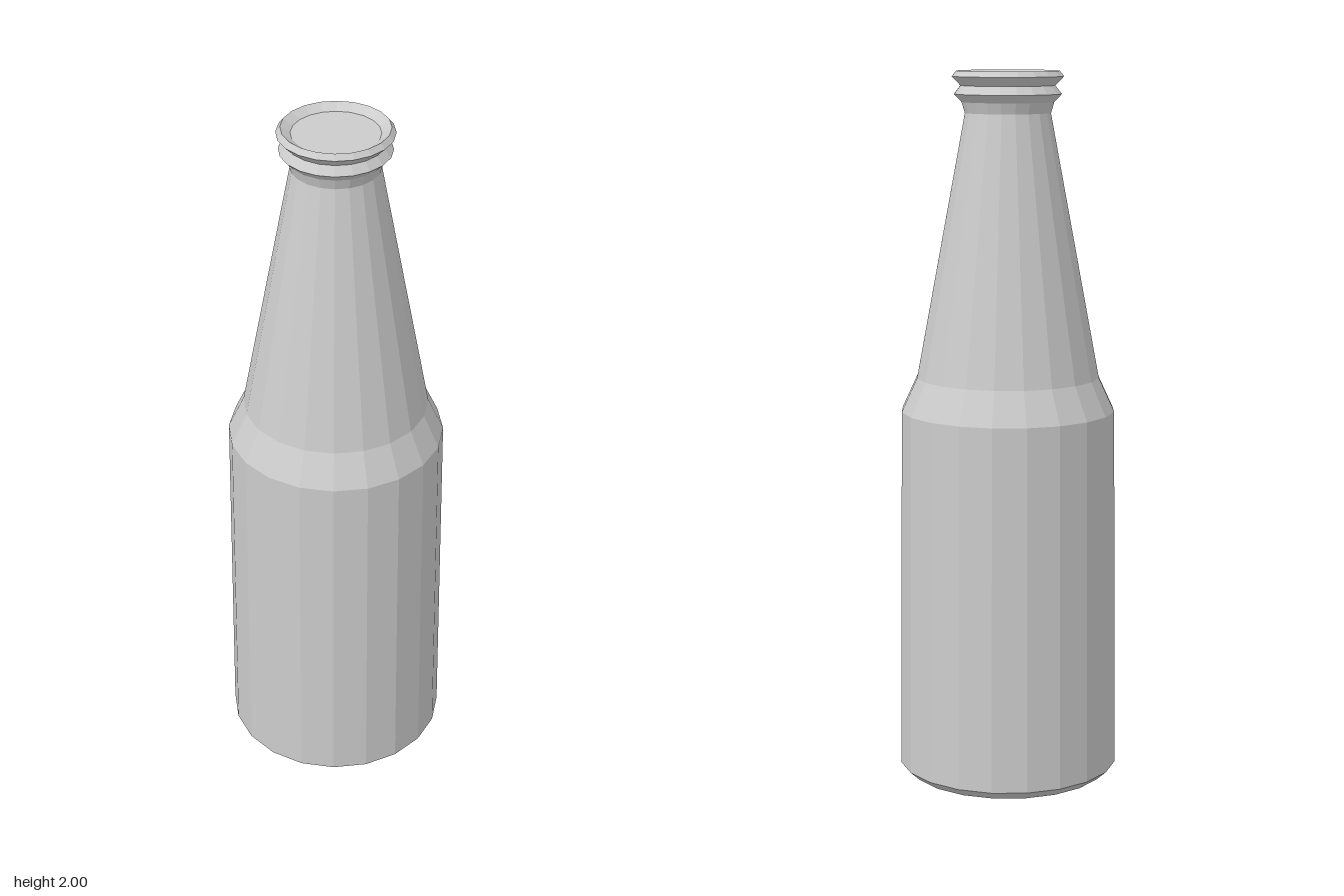
import * as THREE from 'three';

const SIDES = 20;

// Faceted ring of surfaces turned from [radius, height] pairs, listed upwards.
function turned(name, profile) {
  const points = profile.map(([r, y]) => new THREE.Vector2(r, y));
  const material = new THREE.MeshStandardMaterial({ color: 0xcccccc, flatShading: true });
  const mesh = new THREE.Mesh(new THREE.LatheGeometry(points, SIDES), material);
  mesh.name = name;
  return mesh;
}

export function createModel() {
  const bottle = new THREE.Group();
  bottle.name = 'bottle';

  // Closed base with a bevelled foot and a slightly tapering body
  bottle.add(turned('body', [[0, 0], [0.283, 0], [0.312, 0.026], [0.302, 1.055]]));

  // Short shoulder and long conical neck
  bottle.add(turned('neck', [[0.302, 1.055], [0.258, 1.15], [0.12, 1.885]]));

  // Double-ridged lip with a shallow sealed mouth
  bottle.add(turned('lip', [
    [0.12, 1.885], [0.129, 1.915], [0.15, 1.937], [0.132, 1.96],
    [0.156, 1.985], [0.144, 2], [0.118, 1.983], [0, 1.983],
  ]));

  return bottle;
}
